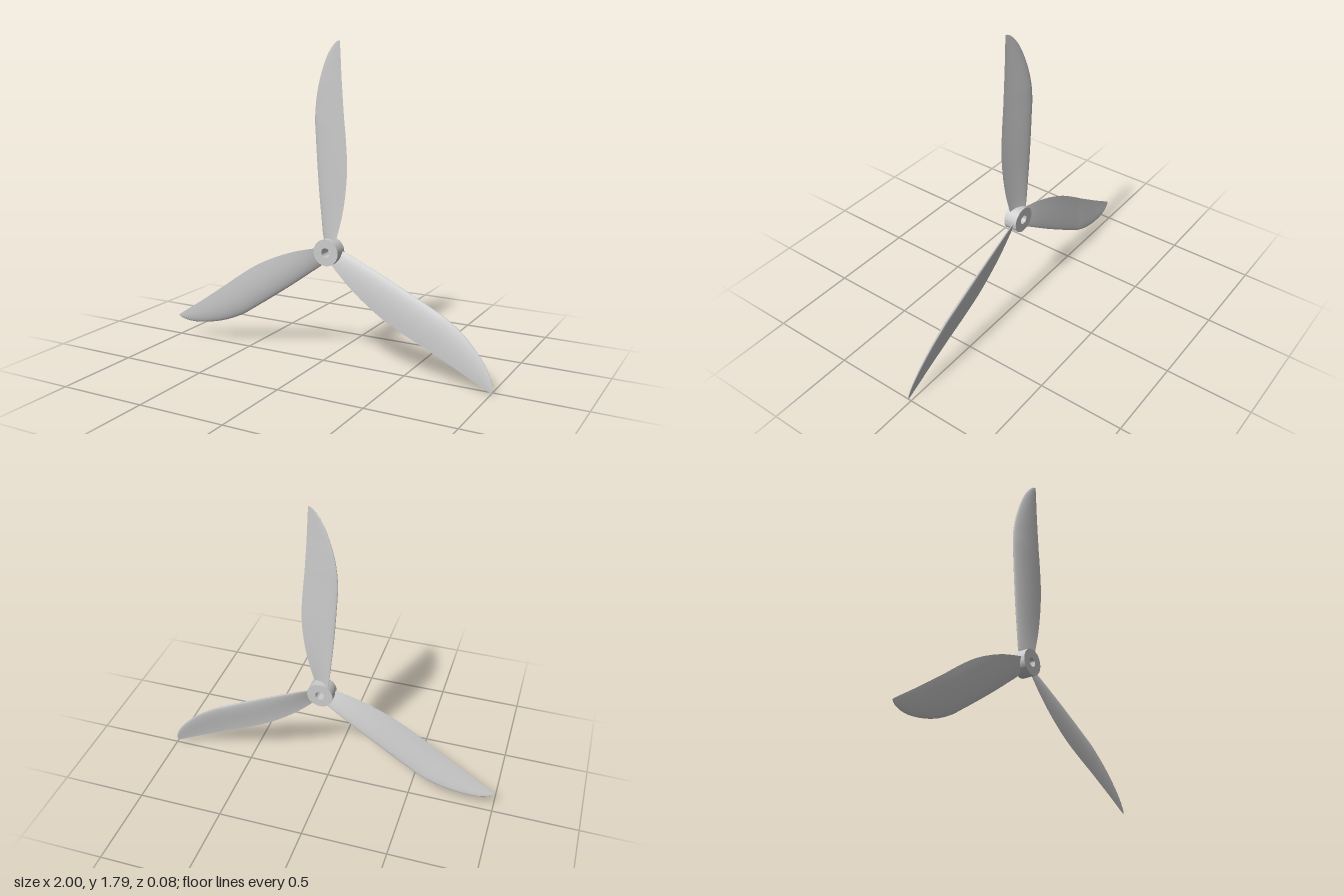
import * as THREE from 'three';
import { toCreasedNormals } from 'three/addons/utils/BufferGeometryUtils.js';

const grey = new THREE.MeshStandardMaterial({ color: 0xcccccc, side: THREE.DoubleSide });

// Blade outline stations: leading edge x, radius, trailing edge x
const outline = new THREE.CatmullRomCurve3([
  [-0.035, 0.035, 0.042], [-0.047, 0.08, 0.056], [-0.06, 0.198, 0.088], [-0.073, 0.33, 0.11],
  [-0.084, 0.476, 0.12], [-0.094, 0.64, 0.111], [-0.098, 0.74, 0.101], [-0.084, 0.866, 0.091],
  [-0.051, 0.984, 0.083], [-0.008, 1.08, 0.078], [0.03, 1.13, 0.075], [0.052, 1.148, 0.073],
  [0.072, 1.155, 0.072],
].map((p) => new THREE.Vector3(...p)));

// Aerofoil section lofted along the radius; the pitch flattens outwards
function bladeGeometry(stations = 72, half = 16) {
  const pos = [], index = [], n = 2 * half + 1;
  for (let j = 0; j <= stations; j++) {
    const { x: lead, y: r, z: trail } = outline.getPoint(j / stations);
    const chord = Math.max(0, trail - lead);
    const zTrail = 0.018;
    const zLead = r > 0.6 ? Math.max(-0.022, zTrail - 0.21 * chord) : -0.022;
    for (let i = 0; i < n; i++) {
      // back face from trailing to leading edge, then front face back again
      const a = (i - half) / half;
      const s = (1 - Math.cos(a * Math.PI)) / 2;
      const thick = 0.2 * (Math.sqrt(s) * 0.9 - 0.35 * s - 1.05 * s * s + 0.5 * s ** 3);
      const camber = 0.12 * s * (1 - s);
      const z = zLead + (zTrail - zLead) * s + chord * (camber + Math.sign(a) * thick);
      pos.push(lead + chord * s, r, z);
      if (j < stations && i < n - 1) {
        const k = j * n + i;
        index.push(k, k + 1, k + n, k + 1, k + n + 1, k + n);
      }
    }
  }
  const g = new THREE.BufferGeometry();
  g.setAttribute('position', new THREE.Float32BufferAttribute(pos, 3));
  g.setIndex(index);
  g.computeVertexNormals();
  return g;
}

export function createModel() {
  const propeller = new THREE.Group();
  propeller.name = 'propeller';

  // Hub: a short ring with a shaft hole
  const ring = new THREE.Shape().absarc(0, 0, 0.075, 0, Math.PI * 2);
  ring.holes.push(new THREE.Path().absarc(0, 0, 0.026, 0, Math.PI * 2, true));
  const hubGeometry = new THREE.ExtrudeGeometry(ring, { depth: 0.08, bevelEnabled: false, curveSegments: 48 });
  hubGeometry.translate(0, 0, -0.04);
  const hub = new THREE.Mesh(toCreasedNormals(hubGeometry, 0.6), grey);
  hub.name = 'hub';
  propeller.add(hub);

  // Three equal blades
  const geometry = bladeGeometry();
  for (let i = 0; i < 3; i++) {
    const blade = new THREE.Mesh(geometry, grey);
    blade.name = `blade${i + 1}`;
    blade.rotation.z = (i * Math.PI * 2) / 3;
    propeller.add(blade);
  }

  propeller.position.set(0.036, 0.642, 0);
  const model = new THREE.Group();
  model.add(propeller);
  return model;
}
